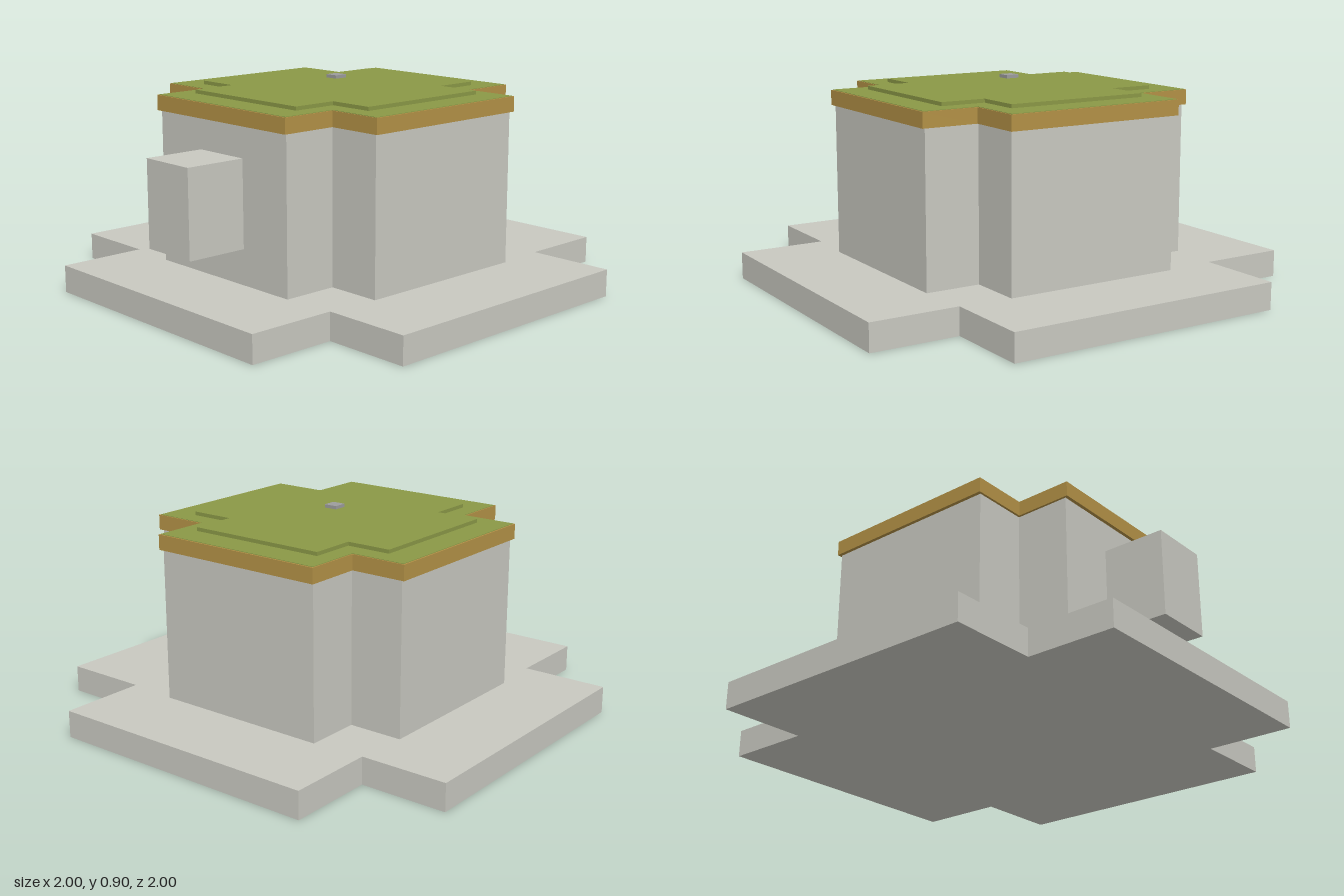
import * as THREE from 'three';

const concrete = new THREE.MeshStandardMaterial({ name: 'paleConcrete', color: 0xc8c8c0 });
const timber = new THREE.MeshStandardMaterial({ name: 'ochreTrim', color: 0xb39146 });
const grass = new THREE.MeshStandardMaterial({ name: 'roofGreen', color: 0x8a9846 });
const metal = new THREE.MeshStandardMaterial({ name: 'grey', color: 0x9c9c9c });

// Upright prism with a plus-shaped plan: reach = arm end, arm = half arm width
function crossPrism(name, reach, arm, y0, y1, material) {
  const shape = new THREE.Shape();
  const quarter = [[reach, -arm], [reach, arm], [arm, arm]];
  const points = [];
  for (let i = 0; i < 4; i++) {
    for (const [x, y] of quarter) {
      points.push(new THREE.Vector2(x, y).rotateAround(new THREE.Vector2(), i * Math.PI / 2));
    }
  }
  shape.setFromPoints(points);
  const geometry = new THREE.ExtrudeGeometry(shape, { depth: y1 - y0, bevelEnabled: false });
  geometry.rotateX(-Math.PI / 2);
  const mesh = new THREE.Mesh(geometry, material);
  mesh.name = name;
  mesh.position.y = y0;
  return mesh;
}

function box(name, size, position, material) {
  const mesh = new THREE.Mesh(new THREE.BoxGeometry(...size), material);
  mesh.name = name;
  mesh.position.set(...position);
  return mesh;
}

export function createModel() {
  const model = new THREE.Group();
  model.name = 'crossPlanBuilding';
  model.add(
    // Ground slab and walls
    crossPrism('baseSlab', 1, 0.618, 0, 0.117, concrete),
    crossPrism('walls', 0.635, 0.395, 0.117, 0.77, concrete),
    // Roof rim, its green covering and the raised centre
    crossPrism('roofRim', 0.65, 0.405, 0.77, 0.835, timber),
    crossPrism('roofCovering', 0.643, 0.4, 0.833, 0.837, grass),
    crossPrism('raisedRoofPanel', 0.516, 0.318, 0.837, 0.853, grass),
    // Block on the right wall and the small floating cap
    box('sideBlock', [0.28, 0.37, 0.265], [-0.765, 0.453, 0], concrete),
    box('roofCap', [0.06, 0.014, 0.06], [0, 0.895, 0], metal),
  );
  return model;
}
